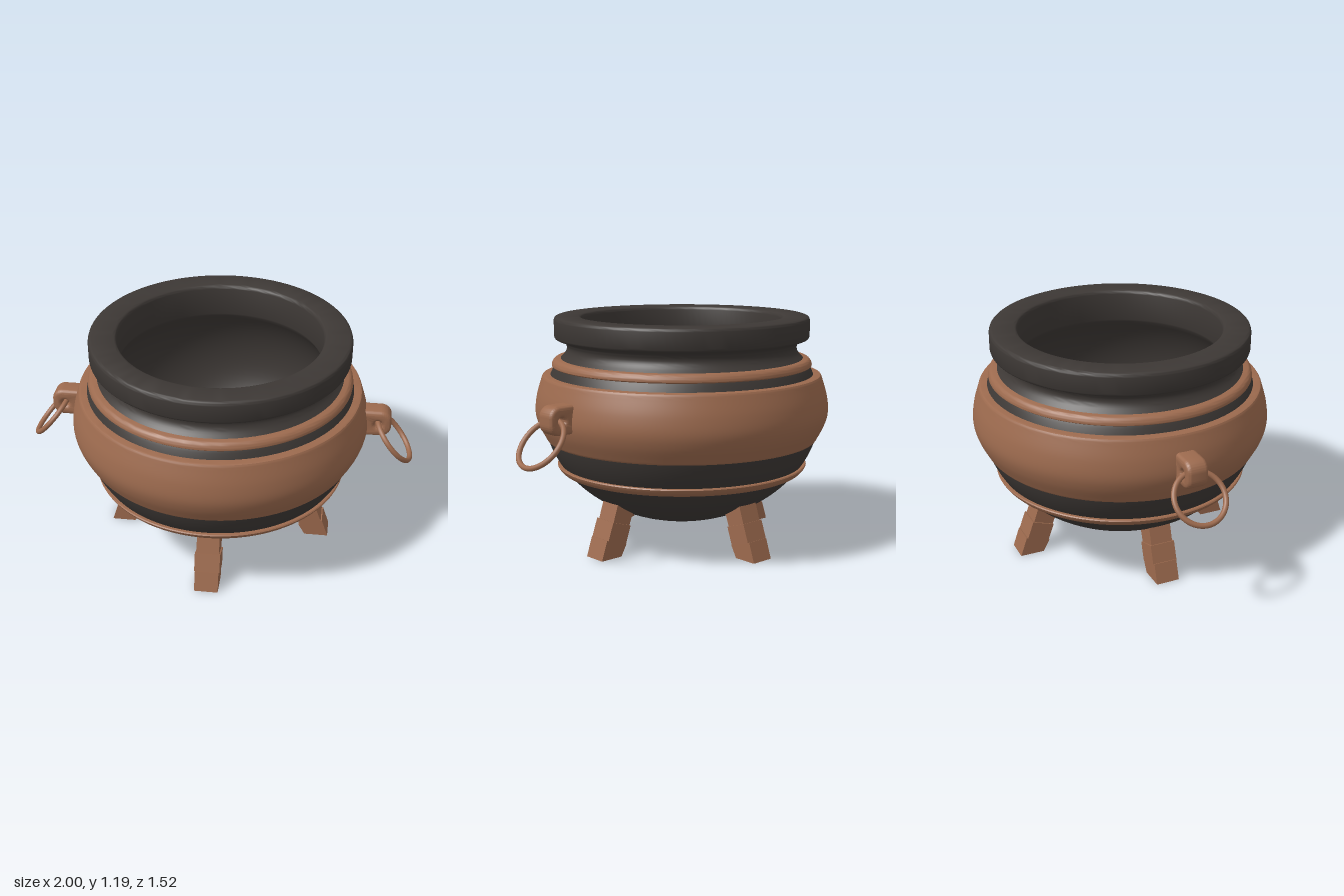
import * as THREE from 'three';
import { toCreasedNormals } from 'three/addons/utils/BufferGeometryUtils.js';

const iron = new THREE.MeshStandardMaterial({ color: 0x3d3835 });
const copper = new THREE.MeshStandardMaterial({ color: 0x9c6a4e });

const vec = ([x, y]) => new THREE.Vector2(x, y);
const smooth = (pts, n) => new THREE.SplineCurve(pts.map(vec)).getPoints(n);

// Lathe with sharp edges kept where the profile turns hard
function lathe(name, profile, material) {
  const geo = toCreasedNormals(new THREE.LatheGeometry(profile, 96), 0.6);
  const mesh = new THREE.Mesh(geo, material);
  mesh.name = name;
  return mesh;
}

// Elliptical bowl section from the bottom centre up to a height
function bowl(rx, ry, cy, top, n) {
  const a0 = -Math.PI / 2;
  const a1 = Math.asin((top - cy) / ry);
  return Array.from({ length: n + 1 }, (_, i) => {
    const a = a0 + (a1 - a0) * i / n;
    return vec([Math.max(0, rx * Math.cos(a)), cy + ry * Math.sin(a)]);
  });
}

// Flat outline in the x-y plane, extruded to a width centred on z = 0
function slab(shape, width, bevel = 0) {
  const geo = new THREE.ExtrudeGeometry(shape, {
    depth: width - 2 * bevel, bevelEnabled: bevel > 0, bevelSize: bevel,
    bevelThickness: bevel, bevelOffset: -bevel, bevelSegments: 4, curveSegments: 16,
  });
  geo.translate(0, 0, -(width - 2 * bevel) / 2);
  return geo;
}

// Leg of three stacked, outward-leaning blocks
function makeLeg() {
  const leg = new THREE.Group();
  const blocks = [
    ['foot', [[0.47, 0], [0.595, 0], [0.561, 0.1], [0.436, 0.06]], 0.122],
    ['ankle', [[0.443, 0.062], [0.555, 0.098], [0.523, 0.188], [0.411, 0.152]], 0.13],
    ['shin', [[0.415, 0.15], [0.516, 0.184], [0.482, 0.287], [0.375, 0.25]], 0.116],
  ];
  for (const [name, outline, width] of blocks) {
    const mesh = new THREE.Mesh(slab(new THREE.Shape(outline.map(vec)), width), copper);
    mesh.name = name;
    leg.add(mesh);
  }
  return leg;
}

// Pierced lug with a hanging ring, built for the +x side
function makeHandle(ringRadius) {
  const handle = new THREE.Group();
  const x0 = 0.7, x1 = 0.881, y0 = 0.667, y1 = 0.81, r = 0.055;
  const s = new THREE.Shape();
  s.moveTo(x0, y0);
  s.lineTo(x1 - r, y0);
  s.absarc(x1 - r, y0 + r, r, -Math.PI / 2, 0);
  s.absarc(x1 - r, y1 - r, r, 0, Math.PI / 2);
  s.lineTo(x0, y1);
  s.closePath();
  s.holes.push(new THREE.Path().absarc(0.813, 0.736, 0.018, 0, Math.PI * 2, true));
  const lug = new THREE.Mesh(toCreasedNormals(slab(s, 0.108, 0.02), 0.7), copper);
  lug.name = 'lug';

  const ring = new THREE.Mesh(new THREE.TorusGeometry(ringRadius, 0.0135, 14, 56), copper);
  ring.name = 'ring';
  ring.rotation.y = Math.PI / 2;
  ring.position.y = -ringRadius;
  const swing = new THREE.Group();
  swing.name = 'ringSwing';
  swing.position.set(0.813, 0.736, 0);
  swing.rotation.z = 0.72;
  swing.add(ring);
  handle.add(lug, swing);
  return handle;
}

export function createModel() {
  const group = new THREE.Group();
  group.name = 'cauldron';
  const pot = new THREE.Group();
  pot.name = 'pot';
  pot.position.x = -0.005;
  group.add(pot);

  // Pot wall: outer bowl, neck, thick rim, then the hollow inside
  const profile = [
    ...bowl(0.722, 0.582, 0.698, 0.945, 40),
    ...smooth([[0.63, 0.97], [0.605, 0.997], [0.594, 1.025], [0.602, 1.052], [0.625, 1.069]], 14),
    ...smooth([[0.642, 1.07], [0.654, 1.076], [0.659, 1.089]], 5),
    ...smooth([[0.659, 1.168], [0.654, 1.182], [0.64, 1.188]], 5),
    ...smooth([[0.537, 1.188], [0.522, 1.182], [0.516, 1.168]], 5),
    vec([0.516, 1.02]),
    ...bowl(0.64, 0.53, 0.7, 1.01, 36).reverse(),
  ];
  pot.add(lathe('potBody', profile, iron));

  // Copper bands
  pot.add(lathe('middleBand', [
    vec([0.66, 0.548]),
    ...smooth([[0.692, 0.548], [0.701, 0.551], [0.708, 0.56]], 4),
    ...smooth([[0.711, 0.566], [0.746, 0.635], [0.762, 0.703], [0.753, 0.785], [0.728, 0.87]], 24),
    ...smooth([[0.726, 0.877], [0.72, 0.888], [0.71, 0.891]], 4),
    vec([0.65, 0.891]),
  ], copper));
  pot.add(lathe('upperBand', [
    vec([0.62, 0.93]),
    ...smooth([[0.662, 0.93], [0.673, 0.936], [0.671, 0.951], [0.661, 0.967], [0.648, 0.973]], 12),
    vec([0.6, 0.973]),
  ], copper));
  pot.add(lathe('lowerBand', [
    vec([0.57, 0.376]),
    ...smooth([[0.606, 0.376], [0.628, 0.383], [0.646, 0.401], [0.654, 0.416]], 10),
    vec([0.65, 0.421]),
    vec([0.6, 0.421]),
  ], copper));

  // Four legs, one on each axis
  for (let i = 0; i < 4; i++) {
    const leg = makeLeg();
    leg.name = ['leftLeg', 'backLeg', 'rightLeg', 'frontLeg'][i];
    leg.rotation.y = i * Math.PI / 2;
    pot.add(leg);
  }

  // Handles on both sides
  const left = makeHandle(0.136);
  left.name = 'leftHandle';
  const right = makeHandle(0.129);
  right.name = 'rightHandle';
  right.rotation.y = Math.PI;
  pot.add(left, right);

  return group;
}
